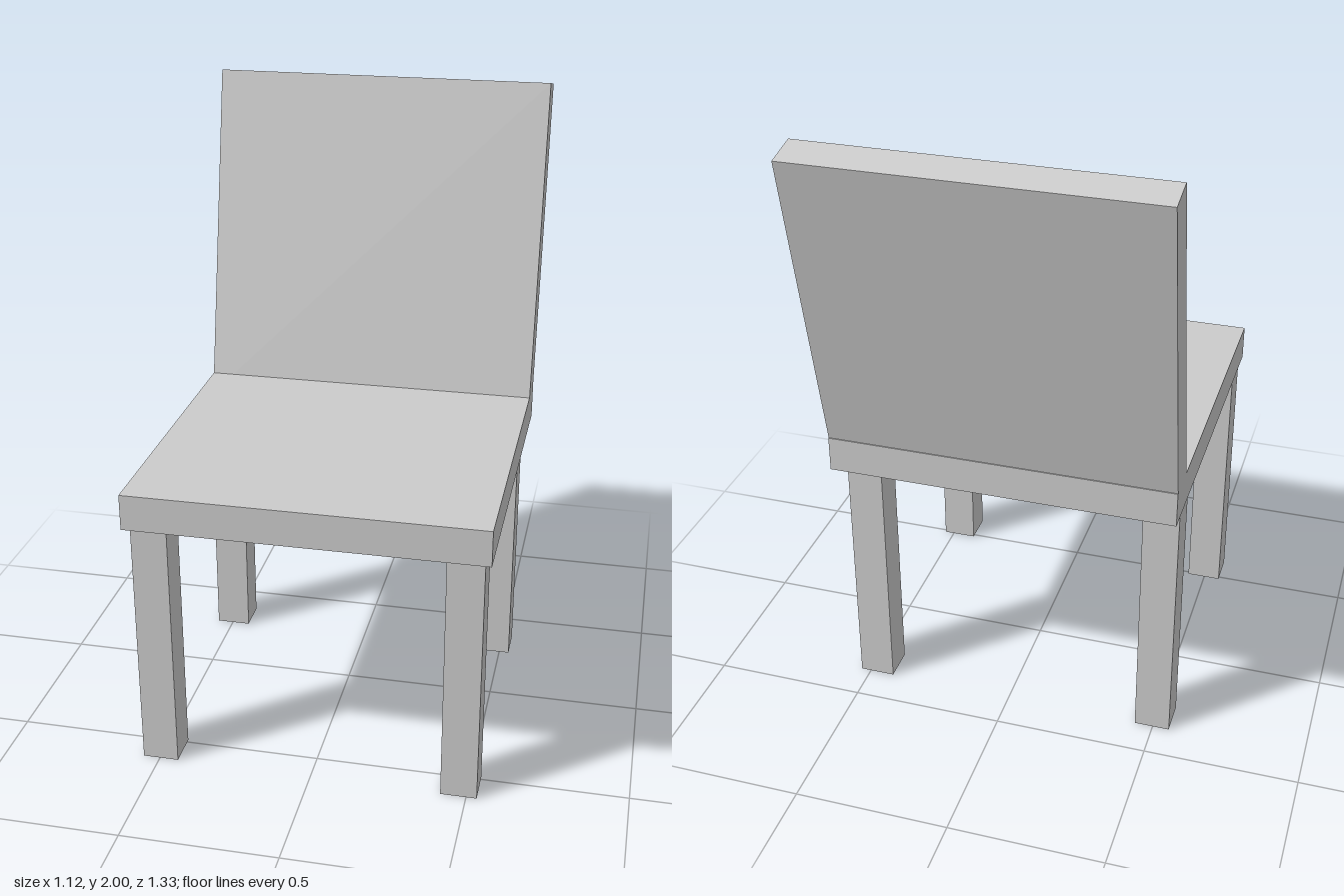
import * as THREE from 'three';

export function createModel() {
  const model = new THREE.Group();
  const material = new THREE.MeshStandardMaterial({ color: 0xcccccc, flatShading: true });

  const addBox = (name, size, position) => {
    const mesh = new THREE.Mesh(new THREE.BoxGeometry(...size), material);
    mesh.name = name;
    mesh.position.set(...position);
    model.add(mesh);
    return mesh;
  };

  // Seat slab
  const width = 1.117, thickness = 0.115, seatBottom = 0.86;
  addBox('seat', [width, thickness, width], [0, seatBottom + thickness / 2, 0.108]);

  // Backrest leaning backwards, its lower edge set into the seat
  const backrest = addBox('backrest', [width, 1.12, 0.114], [0, 1.441, -0.491]);
  backrest.rotation.x = -0.2155;

  // Four square legs, set slightly towards the right side
  for (const [side, x] of [['Left', 0.476], ['Right', -0.497]]) {
    for (const [end, z] of [['front', 0.544], ['back', -0.321]]) {
      addBox(`${end}${side}Leg`, [0.115, seatBottom, 0.112], [x, seatBottom / 2, z]);
    }
  }

  return model;
}
